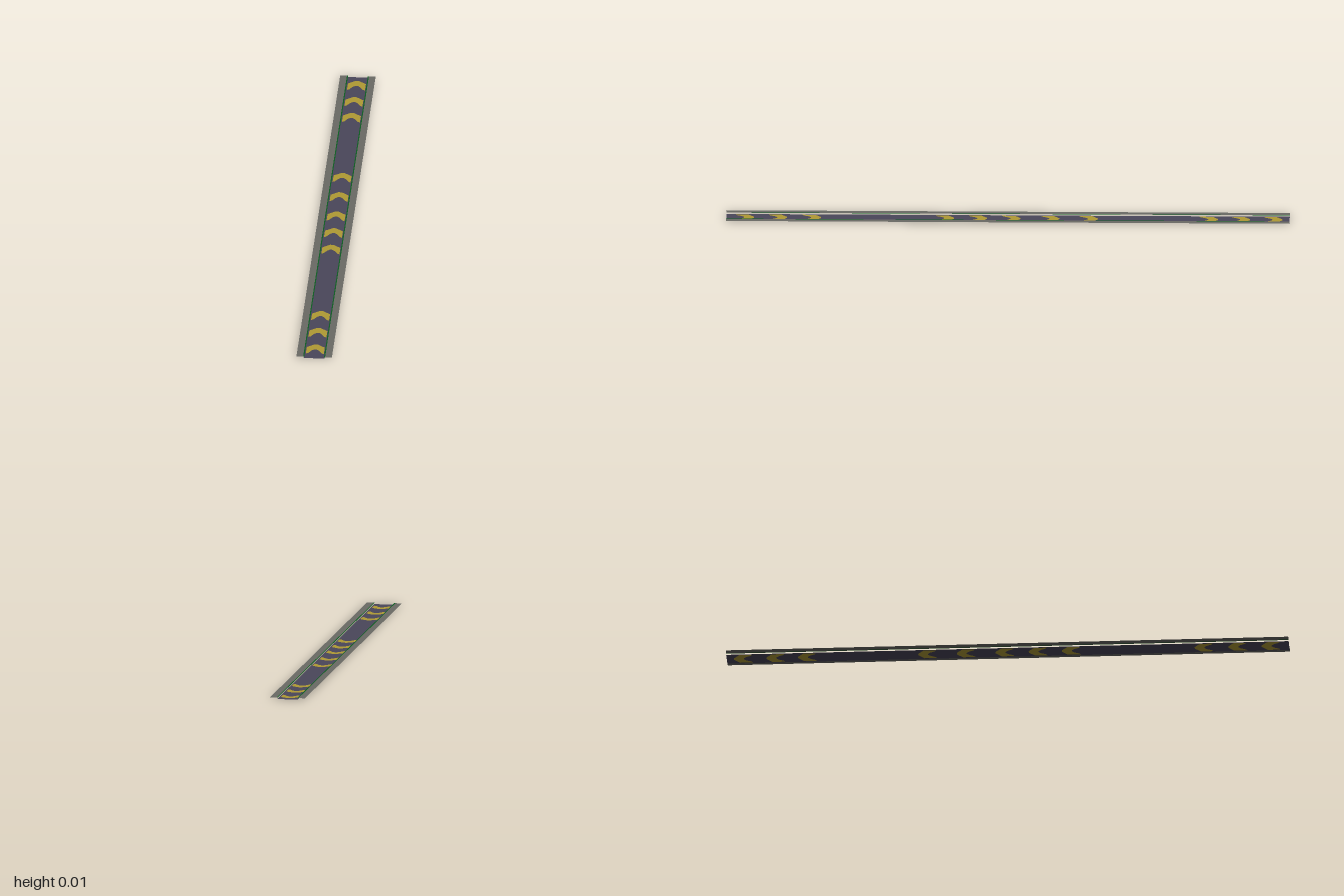
import * as THREE from 'three';

const mat = (name, color) => {
  const m = new THREE.MeshStandardMaterial({ color, side: THREE.DoubleSide });
  m.name = name;
  return m;
};

const HALF_ROAD = 0.037;   // half width of the lane
const HALF_TOTAL = 0.063;  // half width including both borders
const BORDER_Y = 0.0055;   // borders float slightly above the lane
const TRIM_IN = 0.035;     // inner and outer edge of the green line
const TRIM_OUT = 0.039;

// Lane arrows, by position along z
const ARROWS = [-0.94, -0.825, -0.712, -0.285, -0.148, -0.01, 0.108, 0.226, 0.698, 0.818, 0.936];

// Right half of one arrow, tip first; the other half is mirrored
const HALF_ARROW = [[0.006, -0.034], [0.032, -0.014], [0.032, 0.032], [0.024, 0.027], [0.013, 0.009], [0.004, 0.001]];

function arrowPoints(z) {
  const right = HALF_ARROW.map(([x, dz]) => new THREE.Vector2(x, -(z + dz)));
  const left = HALF_ARROW.map(([x, dz]) => new THREE.Vector2(-x, -(z + dz))).reverse();
  return [...right, ...left];
}

// Lay a flat shape on the ground, facing up
function flat(name, shape, material, y = 0) {
  const geometry = new THREE.ShapeGeometry(shape).rotateX(-Math.PI / 2);
  const mesh = new THREE.Mesh(geometry, material);
  mesh.name = name;
  mesh.position.y = y;
  return mesh;
}

function strip(x0, x1) {
  return new THREE.Shape([[x0, -1], [x1, -1], [x1, 1], [x0, 1]].map(([x, y]) => new THREE.Vector2(x, y)));
}

export function createModel() {
  const asphalt = mat('asphalt', 0x4a465a);
  const yellow = mat('arrowYellow', 0xb09a34);
  const concrete = mat('borderGrey', 0x6a6a65);
  const green = mat('trimGreen', 0x0c5c20);

  const model = new THREE.Group();
  model.name = 'roadStrip';

  // Lane with arrow cut-outs, so the arrows show from above and below
  const lane = strip(-HALF_ROAD, HALF_ROAD);
  lane.holes = ARROWS.map((z) => new THREE.Path(arrowPoints(z)));
  model.add(flat('lane', lane, asphalt));

  // Arrows filling the cut-outs
  const arrows = new THREE.Group();
  arrows.name = 'laneArrows';
  for (const z of ARROWS) arrows.add(flat('arrow', new THREE.Shape(arrowPoints(z)), yellow));
  model.add(arrows);

  // Raised borders, each with a green line along its inner edge
  for (const [side, s] of [['left', 1], ['right', -1]]) {
    const span = (a, b) => strip(Math.min(s * a, s * b), Math.max(s * a, s * b));
    model.add(flat(side + 'Trim', span(TRIM_IN, TRIM_OUT), green, BORDER_Y));
    model.add(flat(side + 'Border', span(TRIM_OUT, HALF_TOTAL), concrete, BORDER_Y));
  }
  return model;
}
